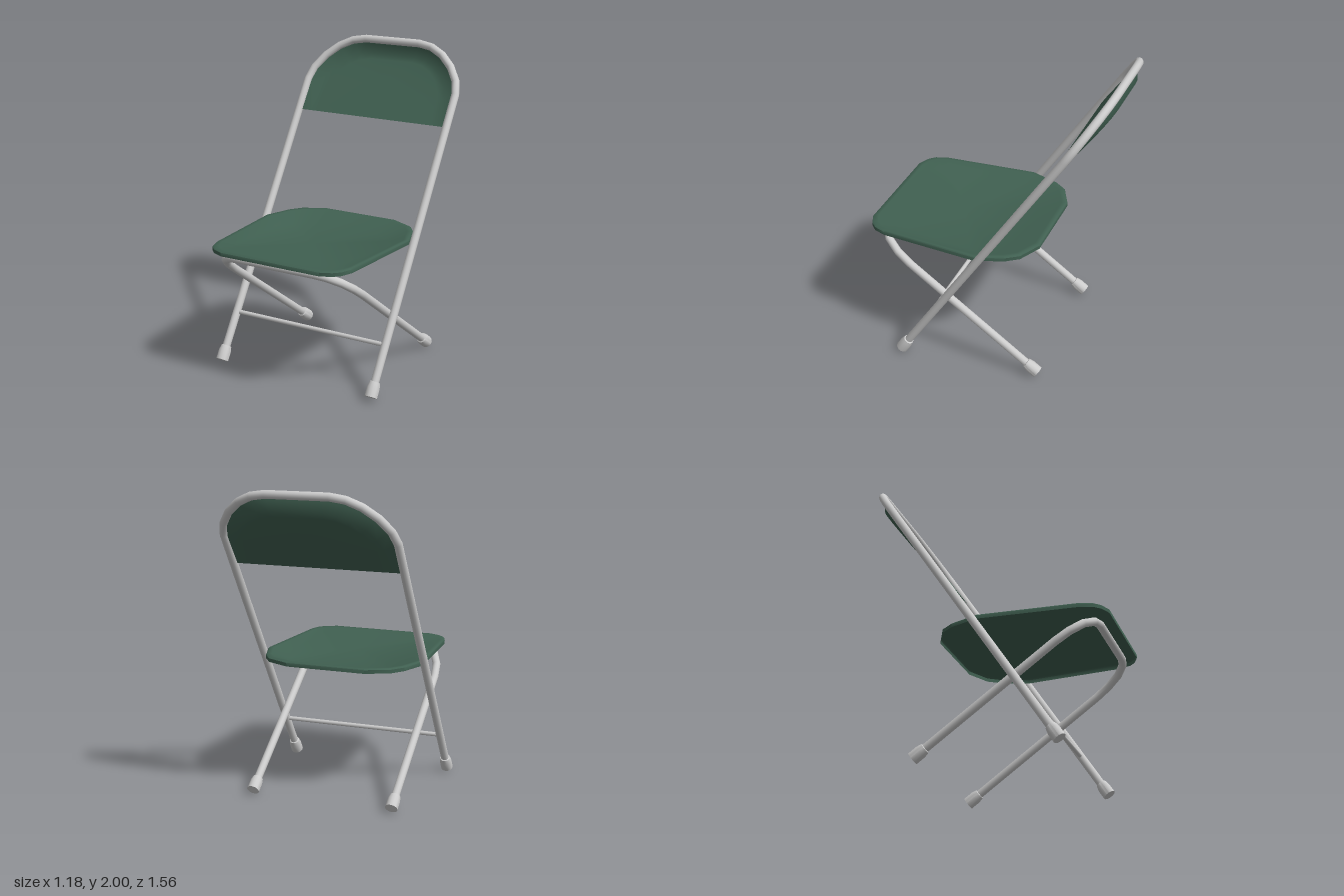
import * as THREE from 'three';
import { toCreasedNormals } from 'three/addons/utils/BufferGeometryUtils.js';

const steel = new THREE.MeshStandardMaterial({ color: 0xcccccc });
const green = new THREE.MeshStandardMaterial({ color: 0x406051, side: THREE.DoubleSide });

// The two leaning planes in which the tube frames lie
const backZ = y => 0.53 - 0.65 * y;
const legZ = y => 0.70 - (0.82 - y) / 0.71;

// Half outlines [x, y] of the bent tubes, foot to top
const backHalf = [[0.553, 0.05], [0.553, 1.2], [0.553, 1.70], [0.53, 1.775], [0.468, 1.855], [0.385, 1.92], [0.295, 1.96], [0.2, 1.975]];
const legHalf = [[0.468, 0.06], [0.468, 0.4], [0.468, 0.66], [0.455, 0.72], [0.415, 0.775], [0.345, 0.81], [0.27, 0.82]];

function add(group, name, geometry, material) {
  const mesh = new THREE.Mesh(geometry, material);
  mesh.name = name;
  group.add(mesh);
  return mesh;
}

// Close a half outline by mirroring it in x
const mirror = half => [...half, ...half.map(([x, v]) => [-x, v]).reverse()];

// U-shaped tube with its rings exactly on the given points
function bentTube(half, zAt) {
  const points = mirror(half).map(([x, y]) => new THREE.Vector3(x, y, zAt(y)));
  const curve = new THREE.CatmullRomCurve3(points);
  curve.getPointAt = t => curve.getPoint(t);
  curve.getTangentAt = t => curve.getTangent(t);
  return new THREE.TubeGeometry(curve, points.length - 1, 0.026, 12);
}

// Skin over closed rings of points, with a fan closing the last ring
function pan(rings, crease) {
  const n = rings[0].length, last = rings.length - 1;
  const middle = [0, 1, 2].map(k => rings[last].reduce((s, p) => s + p[k], 0) / n);
  const index = [];
  for (let i = 0; i < n; i++) {
    const j = (i + 1) % n;
    for (let r = 0; r < last; r++) {
      const a = r * n + i, b = r * n + j;
      index.push(a, b, b + n, a, b + n, a + n);
    }
    index.push(last * n + i, last * n + j, (last + 1) * n);
  }
  const geo = new THREE.BufferGeometry();
  geo.setAttribute('position', new THREE.Float32BufferAttribute([...rings.flat(2), ...middle], 3));
  geo.setIndex(index);
  return toCreasedNormals(geo, crease);
}

// Rubber foot along a tube, starting at its lower end
function addFeet(group, name, x, y, zAt) {
  const profile = [[0, 0], [0.04, 0], [0.04, 0.062], [0.033, 0.095], [0.02, 0.1]].map(p => new THREE.Vector2(...p));
  const geo = toCreasedNormals(new THREE.LatheGeometry(profile, 14), 0.7);
  const axis = new THREE.Vector3(0, 1, zAt(1) - zAt(0)).normalize();
  for (const side of [1, -1]) {
    const foot = add(group, (side > 0 ? 'left' : 'right') + name, geo, steel);
    foot.position.set(side * x, y, zAt(y));
    foot.quaternion.setFromUnitVectors(new THREE.Vector3(0, 1, 0), axis);
  }
}

export function createModel() {
  const chair = new THREE.Group();
  chair.name = 'foldingChair';

  // Tube frames and feet
  add(chair, 'backFrame', bentTube(backHalf, backZ), steel);
  add(chair, 'rearLegFrame', bentTube(legHalf, legZ), steel);
  addFeet(chair, 'FrontFoot', 0.553, 0.022, backZ);
  addFeet(chair, 'RearFoot', 0.468, 0.033, legZ);

  // Crossbar between the front legs
  const bar = add(chair, 'crossbar', new THREE.CylinderGeometry(0.014, 0.014, 1.1, 10), steel);
  bar.rotation.z = Math.PI / 2;
  bar.position.set(0, 0.3, backZ(0.3));

  // Seat: a thin pan with a short skirt, dished deeper to the rear
  const seat = mirror([[0.35, 0.78], [0.42, 0.75], [0.46, 0.71], [0.487, 0.635], [0.532, 0],
    [0.468, -0.18], [0.41, -0.26], [0.26, -0.332]]);
  const inset = (sx, front, rear, yAt) => seat.map(([x, z]) => {
    const w = 0.25 + (z - 0.25) * (z > 0.25 ? front : rear);
    return [x * sx, yAt(w), w];
  });
  add(chair, 'seat', pan([
    inset(1, 1, 1, () => 0.85),
    inset(1, 1, 1, () => 0.873),
    inset(0.985, 0.985, 0.985, () => 0.88),
    inset(0.94, 0.94, 0.94, () => 0.878),
    inset(0.78, 0.82, 0.69, z => 0.832 + 0.06 * z),
  ], 0.9), green);

  // Backrest: a sheet inside the bend, dished rearwards towards the top
  const foot = 1.51;
  const back = mirror([[0.545, foot], ...backHalf.slice(2)]);
  const backRing = (sx, sy, depth) => back.map(([x, y]) => {
    const h = foot + (y - foot) * sy;
    return [x * sx, h, backZ(h) - depth * (h - foot) / 0.34];
  });
  add(chair, 'backrest', pan([
    backRing(1, 0.985, 0),
    backRing(0.95, 0.93, 0.015),
    backRing(0.84, 0.79, 0.066),
    backRing(0.77, 0.72, 0.072),
  ], 0.9), green);

  return chair;
}
